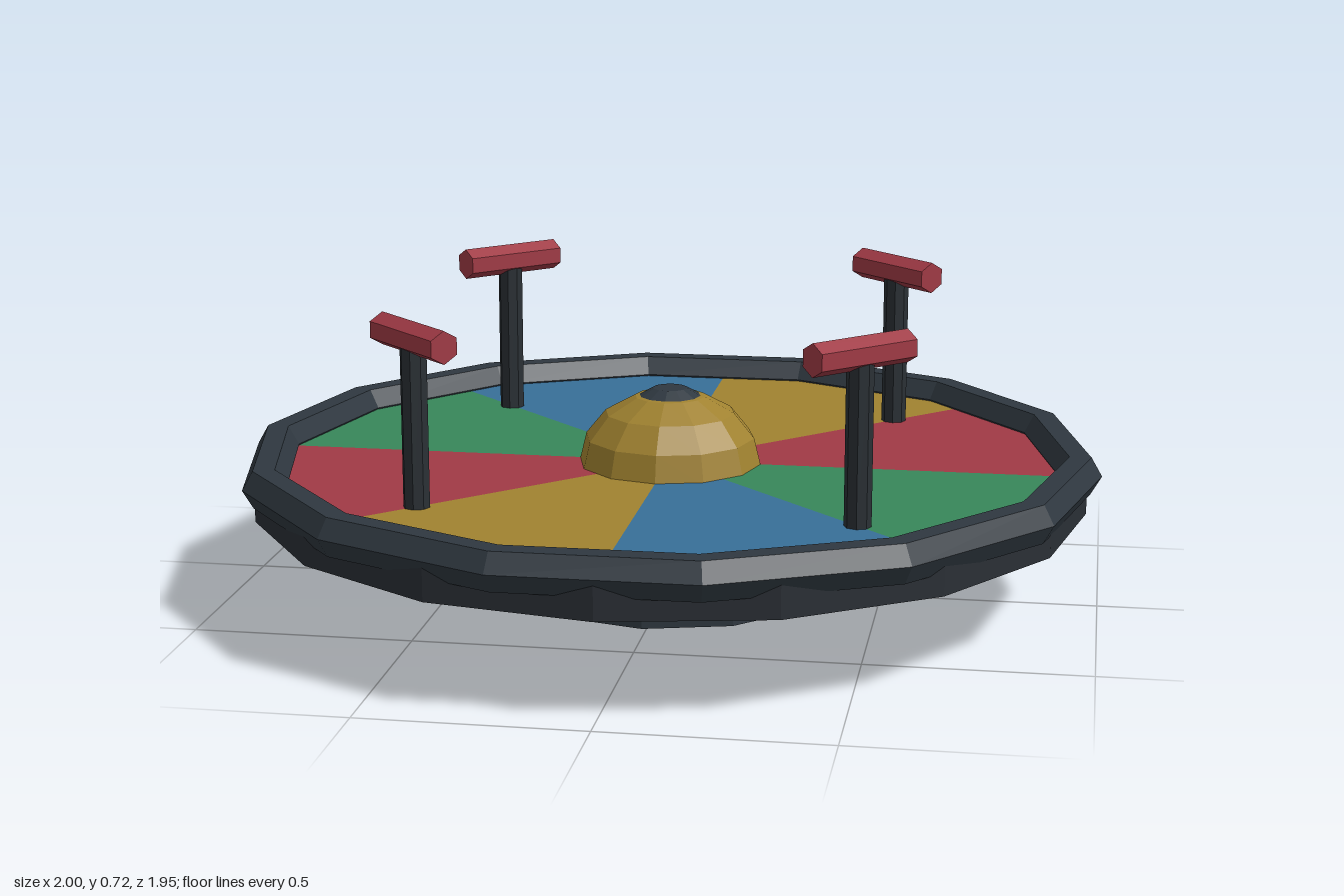
import * as THREE from 'three';

const mat = (color) => new THREE.MeshStandardMaterial({ color, flatShading: true });
const dark = mat(0x2f3840);
const underside = mat(0x2a2f35);
const column = mat(0x4a5259);
const postMat = mat(0x2a3035);
const red = mat(0xa03a45);
const green = mat(0x37875a);
const blue = mat(0x386f98);
const yellow = mat(0xa08230);

function add(parent, name, geometry, material, x = 0, y = 0, z = 0) {
  const mesh = new THREE.Mesh(geometry, material);
  mesh.name = name;
  mesh.position.set(x, y, z);
  parent.add(mesh);
  return mesh;
}

// Upright cylinder between two heights
function drum(parent, name, radius, y0, y1, sides, material) {
  const g = new THREE.CylinderGeometry(radius, radius, y1 - y0, sides);
  return add(parent, name, g, material, 0, (y0 + y1) / 2, 0);
}

export function createModel() {
  const model = new THREE.Group();
  model.name = 'merryGoRound';

  // Pedestal
  drum(model, 'pedestalColumn', 0.19, 0, 0.23, 10, column);
  drum(model, 'pedestalFlange', 0.395, 0.02, 0.13, 12, dark);

  // Platform and rim
  drum(model, 'platform', 0.967, 0.22, 0.3, 16, underside);
  const rim = new THREE.TorusGeometry(0.95, 0.05, 6, 14).rotateX(Math.PI / 2);
  add(model, 'rim', rim, dark, 0, 0.31, 0);

  // Coloured floor wedges, counted from +x towards +z
  const floor = new THREE.Group();
  floor.name = 'floor';
  model.add(floor);
  const colours = [green, blue, yellow, red];
  const step = Math.PI / 4;
  for (let i = 0; i < 8; i++) {
    const start = Math.PI / 2 - (i + 1) * step;
    const wedge = new THREE.CylinderGeometry(0.93, 0.93, 0.02, 2, 1, false, start, step);
    add(floor, 'floorWedge', wedge, colours[i % 4], 0, 0.296, 0);
  }

  // Central dome with its cap
  const dome = new THREE.SphereGeometry(0.215, 12, 4, 0, Math.PI * 2, 0, Math.PI / 2);
  dome.scale(1, 0.82, 1);
  add(model, 'dome', dome, yellow, 0, 0.3, 0);
  const cap = new THREE.CylinderGeometry(0.04, 0.08, 0.022, 12);
  add(model, 'domeCap', cap, dark, 0, 0.471, 0);

  // Four posts with tangential grips
  for (let i = 0; i < 4; i++) {
    const handle = new THREE.Group();
    handle.name = 'handle';
    handle.rotation.y = Math.PI / 4 + i * Math.PI / 2;
    model.add(handle);
    const post = new THREE.CylinderGeometry(0.03, 0.03, 0.38, 8);
    add(handle, 'post', post, postMat, 0.686, 0.49, 0);
    const grip = new THREE.CylinderGeometry(0.037, 0.037, 0.26, 6).rotateX(Math.PI / 2);
    add(handle, 'grip', grip, red, 0.686, 0.685, 0);
  }

  return model;
}
